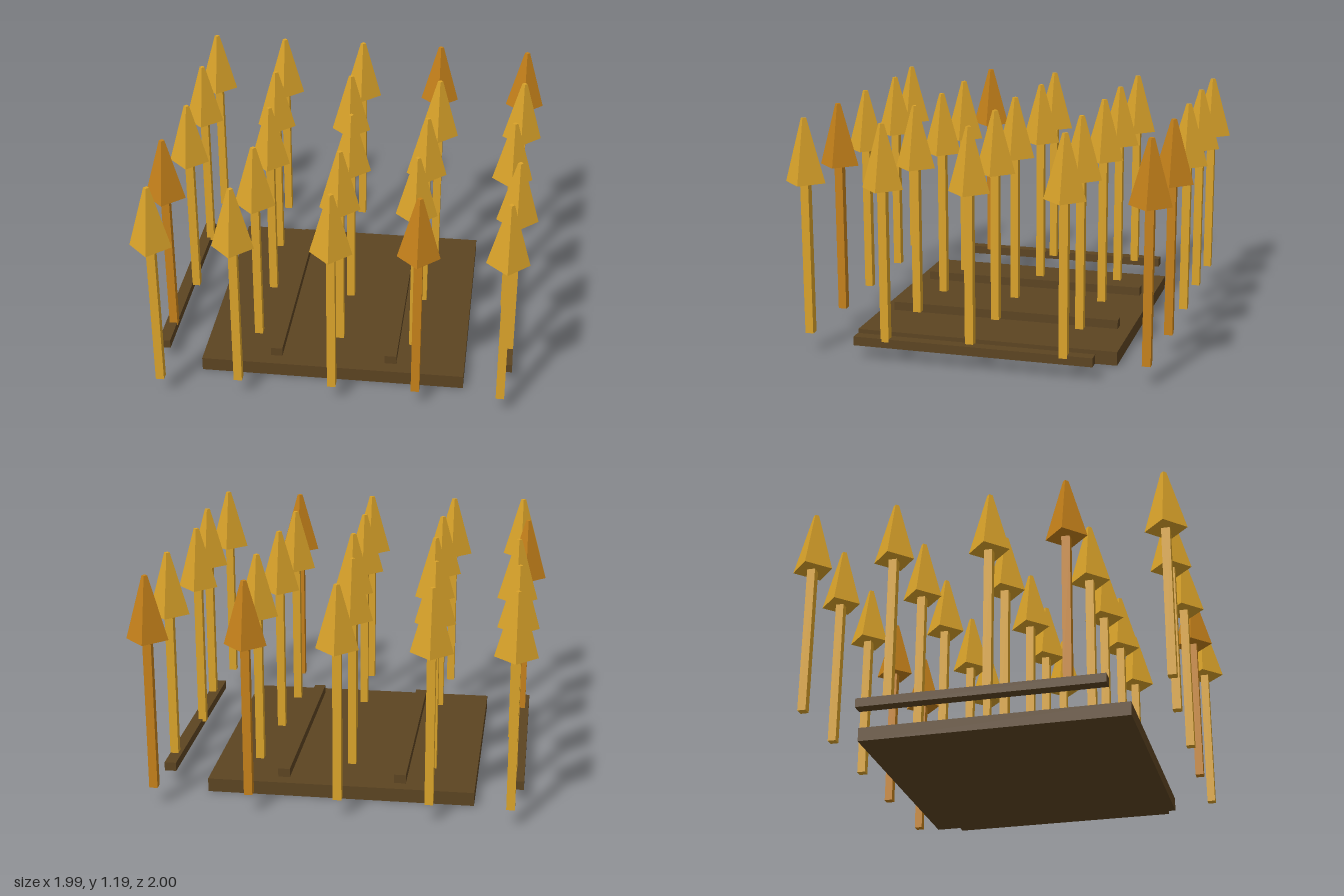
import * as THREE from 'three';

const material = (color) => new THREE.MeshStandardMaterial({ color, flatShading: true });

// Spike positions as [x, z], one line per row from back to front
const ROWS = [
  [[-0.878, -0.897], [-0.484, -0.891], [-0.037, -0.894], [0.404, -0.891], [0.886, -0.87]],
  [[-0.875, -0.468], [-0.465, -0.45], [-0.051, -0.45], [0.431, -0.441], [0.88, -0.465]],
  [[-0.856, 0.016], [-0.428, -0.013], [0.005, 0.016], [0.399, 0.011], [0.843, 0.013]],
  [[-0.894, 0.412], [-0.431, 0.433], [-0.003, 0.423], [0.383, 0.441], [0.88, 0.436]],
  [[-0.856, 0.891], [-0.465, 0.854], [0.008, 0.851], [0.426, 0.84], [0.848, 0.848]],
];
// Darker spikes, as "row,column"
const DARK = new Set(['0,3', '0,4', '3,0', '4,3']);

export function createModel() {
  const model = new THREE.Group();
  const wood = material(0x5c4421);
  const gold = material(0xdaa32a);
  const darkGold = material(0xc5811a);

  const add = (parent, name, geometry, mat, x, y, z) => {
    const mesh = new THREE.Mesh(geometry, mat);
    mesh.name = name;
    mesh.position.set(x, y, z);
    parent.add(mesh);
  };

  // Base plate
  add(model, 'basePlate', new THREE.BoxGeometry(1.35, 0.07, 1.35), wood, -0.017, 0.035, -0.006);

  // Four rails running front to back
  const railGeometry = new THREE.BoxGeometry(0.06, 0.045, 1.21);
  for (let i = 0; i < 4; i++) {
    add(model, 'rail', railGeometry, wood, -0.905 + i * 0.592, 0.0925, -0.006);
  }

  // Spikes: square shaft with a four-sided, slightly blunt head
  const shaftGeometry = new THREE.BoxGeometry(0.042, 0.772, 0.042);
  const headGeometry = new THREE.CylinderGeometry(0.014, 0.104, 0.32, 4);
  ROWS.forEach((row, r) => row.forEach(([x, z], c) => {
    const mat = DARK.has(`${r},${c}`) ? darkGold : gold;
    const spike = new THREE.Group();
    spike.name = 'spike';
    spike.position.set(x, 0, z);
    add(spike, 'spikeShaft', shaftGeometry, mat, 0, 0.486, 0);
    add(spike, 'spikeHead', headGeometry, mat, 0, 1.032, 0);
    model.add(spike);
  }));

  return model;
}
